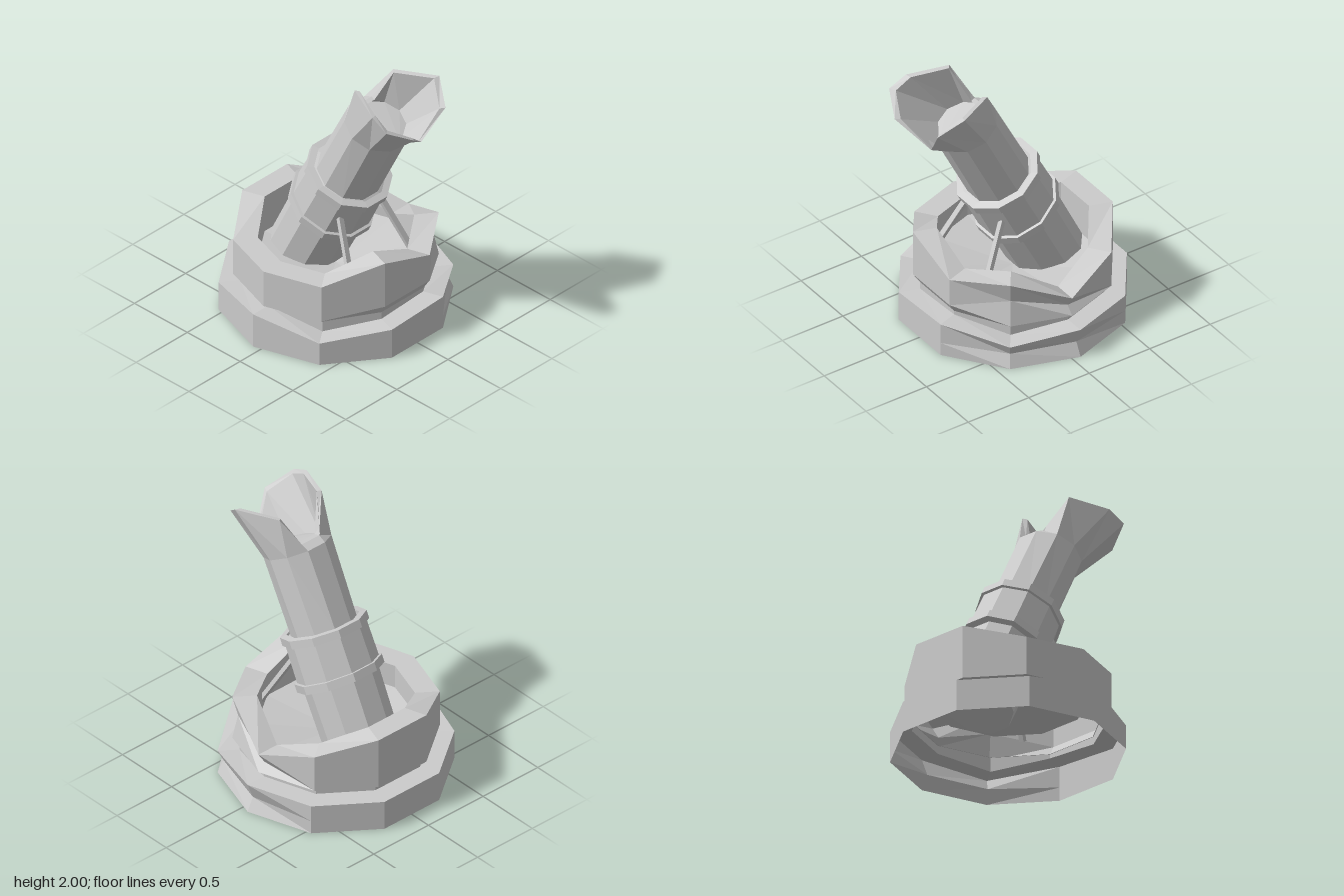
import * as THREE from 'three';

const N = 10;
const material = new THREE.MeshStandardMaterial({ color: 0xcccccc, flatShading: true, side: THREE.DoubleSide });
const V = (x, y, z) => new THREE.Vector3(x, y, z);
const pick = (v, k) => (Array.isArray(v) ? v[k] : v);

// Skins a list of ten-point rings with quads, ring to ring
function loft(name, rings) {
  const pos = [];
  const tri = (...pts) => pts.forEach((p) => pos.push(p.x, p.y, p.z));
  for (let i = 0; i < rings.length - 1; i++) {
    const a = rings[i], b = rings[i + 1];
    for (let k = 0; k < N; k++) {
      const n = (k + 1) % N;
      tri(a[k], b[k], b[n]);
      tri(a[k], b[n], a[n]);
    }
  }
  const geo = new THREE.BufferGeometry();
  geo.setAttribute('position', new THREE.Float32BufferAttribute(pos, 3));
  geo.computeVertexNormals();
  const mesh = new THREE.Mesh(geo, material);
  mesh.name = name;
  return mesh;
}

// Horizontal ring of the base; radius and height may vary by corner
const baseRing = (r, y) => Array.from({ length: N }, (_, k) => {
  const a = (k * Math.PI * 2) / N;
  return V(pick(r, k) * Math.cos(a), pick(y, k), -0.06 + pick(r, k) * Math.sin(a));
});

// Ring across the tilted barrel axis at distance s; lean tips it, depth flattens it
const TILT = 0.472;
const tubeRing = (r, s, lean = 0, depth = 1) => Array.from({ length: N }, (_, k) => {
  const a = (k * Math.PI * 2) / N;
  const w = r * depth * Math.sin(a), t = s - w * lean;
  return V(r * Math.cos(a),
    0.79 + t * Math.cos(TILT) - w * Math.sin(TILT),
    -0.095 + t * Math.sin(TILT) + w * Math.cos(TILT));
});

const point = (x, y, z) => Array.from({ length: N }, () => V(x, y, z));

// Raised hoop around the barrel
const hoop = (name, r, s, lean) => loft(name, [
  tubeRing(r - 0.05, s - 0.035, lean), tubeRing(r, s - 0.03, lean),
  tubeRing(r, s + 0.03, lean), tubeRing(r - 0.05, s + 0.035, lean),
]);

function strut(side) {
  const from = V(side * 0.32, 0.37, 0.42), to = V(side * 0.19, 0.87, 0.16);
  const mesh = new THREE.Mesh(new THREE.BoxGeometry(0.04, from.distanceTo(to), 0.03), material);
  mesh.position.copy(from).lerp(to, 0.5);
  mesh.quaternion.setFromUnitVectors(V(0, 1, 0), to.clone().sub(from).normalize());
  mesh.name = side > 0 ? 'leftStrut' : 'rightStrut';
  return mesh;
}

export function createModel() {
  const group = new THREE.Group();
  group.name = 'mortar';

  // Wide foot with two dented corners, and the neck above it
  const footTop = [0.225, 0.18, 0.255, 0.23, 0.175, 0.265, 0.225, 0.225, 0.225, 0.225];
  group.add(loft('foot', [
    baseRing(0.81, 0),
    baseRing([0.76, 0.77, 0.81, 0.81, 0.81, 0.81, 0.81, 0.81, 0.81, 0.81], 0.1),
    baseRing(0.81, footTop),
    baseRing(0.66, footTop),
  ]));
  group.add(loft('neck', [baseRing(0.66, footTop), baseRing(0.66, 0.285)]));

  // Battered collar with an uneven top
  const collarTop = [0.43, 0.625, 0.57, 0.715, 0.57, 0.57, 0.565, 0.675, 0.675, 0.565];
  group.add(loft('collar', [
    baseRing(0.655, 0.285),
    baseRing([0.71, 0.71, 0.66, 0.66, 0.71, 0.71, 0.71, 0.71, 0.71, 0.71], 0.285),
    baseRing([0.655, 0.67, 0.71, 0.71, 0.71, 0.71, 0.71, 0.71, 0.71, 0.71],
      [0.345, 0.47, 0.36, 0.36, 0.29, 0.29, 0.29, 0.29, 0.29, 0.29]),
    baseRing(0.71, collarTop),
    baseRing(0.54, collarTop),
    baseRing(0.54, 0.39),
  ]));
  group.add(loft('floor', [baseRing(0.54, 0.39), point(0, 0.3, -0.06)]));

  // Leaning barrel, thicker between the hoops
  group.add(loft('barrel', [
    point(0, 0.273, -0.359),
    tubeRing(0.26, -0.58),
    tubeRing(0.27, -0.02),
    tubeRing(0.295, 0),
    tubeRing(0.29, 0.33),
    tubeRing(0.235, 0.35),
    tubeRing(0.25, 0.94, 0, 0.92),
  ]));
  group.add(hoop('lowerHoop', 0.315, 0, 0.05));
  group.add(hoop('upperHoop', 0.31, 0.335, 0));

  // Split, flared muzzle: two jaws with a notch at front and back
  const rim = [
    V(0.35, 1.97, 0.58), V(0.25, 1.83, 0.735), V(0.08, 1.6, 0.67), V(-0.14, 1.79, 0.82), V(-0.33, 1.9, 0.735),
    V(-0.325, 1.965, 0.6), V(-0.21, 2, 0.32), V(-0.08, 1.75, 0.2), V(0.08, 1.75, 0.2), V(0.2, 1.96, 0.29),
  ];
  const lip = rim.map((p) => V(p.x * 0.88, p.y - 0.005, 0.5 + (p.z - 0.5) * 0.88));
  group.add(loft('muzzle', [tubeRing(0.25, 0.94, 0, 0.92), rim, lip]));

  // Shallow mouth, closed by a plug that fans out from the front notch
  group.add(loft('mouth', [
    lip,
    tubeRing(0.21, 0.95, -0.1, 0.9),
    point(0, 1.57, 0.55),
  ]));

  // Props between floor and barrel
  group.add(strut(1), strut(-1));
  return group;
}
